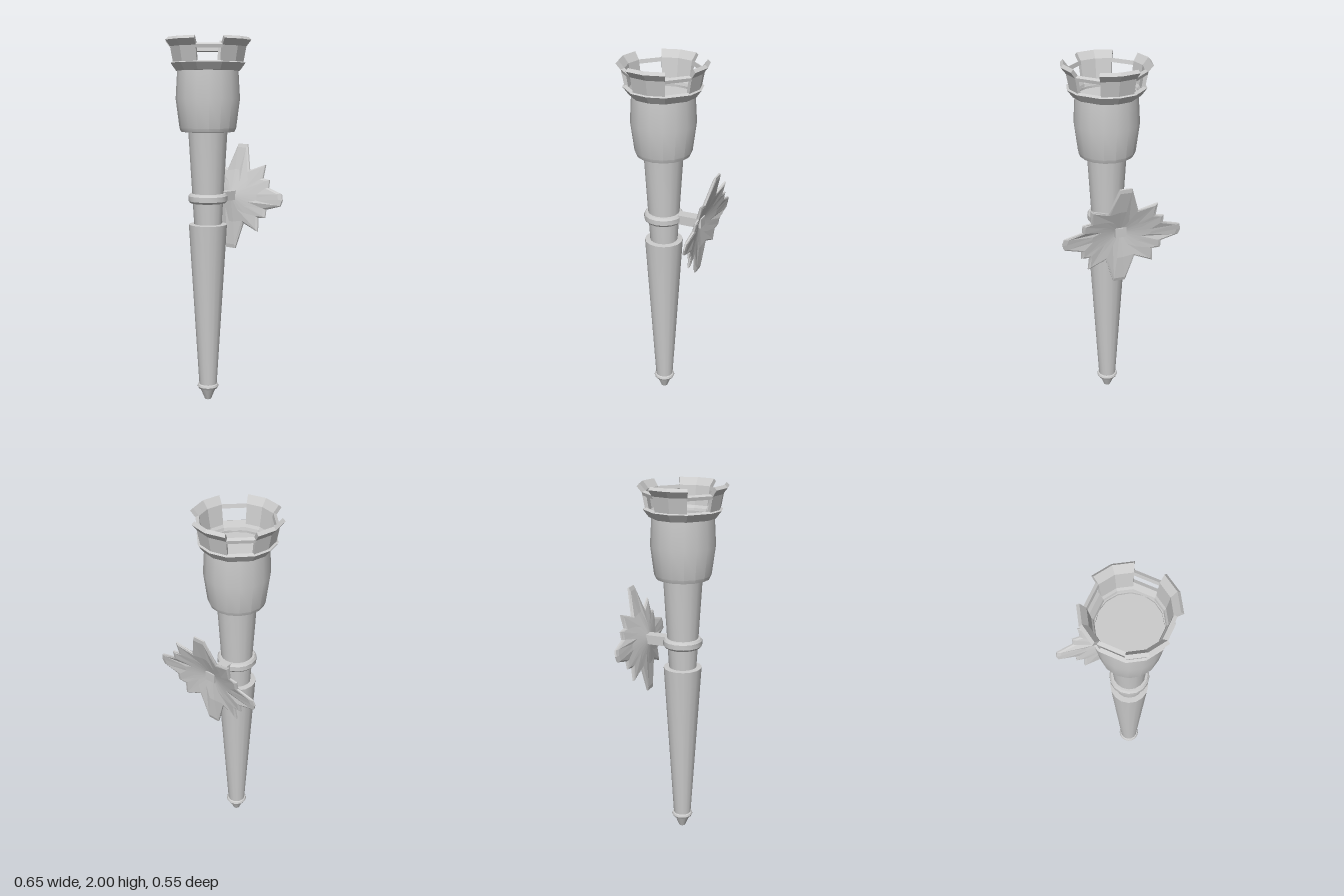
import * as THREE from 'three';
import { toCreasedNormals } from 'three/addons/utils/BufferGeometryUtils.js';

const CX = 0.005, CZ = 0.035; // torch axis
const rad = THREE.MathUtils.degToRad;
const grey = new THREE.MeshStandardMaterial({ color: 0xcccccc });
const facet = new THREE.MeshStandardMaterial({ color: 0xcccccc, flatShading: true });

function add(parent, name, geometry, material = grey) {
  const mesh = new THREE.Mesh(geometry, material);
  mesh.name = name;
  parent.add(mesh);
  return mesh;
}

function lathe(points, sides = 16) {
  const g = new THREE.LatheGeometry(points.map(p => new THREE.Vector2(...p)), sides);
  return toCreasedNormals(g, 0.45);
}

function fromTriangles(points) {
  const g = new THREE.BufferGeometry().setFromPoints(points);
  g.computeVertexNormals();
  return g;
}

// Sweeps a closed counter-clockwise [radius, y] profile through angles measured from +z
function sweep(profile, degrees, capped = true) {
  const tris = [], n = profile.length;
  const at = (deg, i) => {
    const [r, y] = profile[i % n];
    return new THREE.Vector3(r * Math.sin(rad(deg)), y, r * Math.cos(rad(deg)));
  };
  for (let k = 0; k + 1 < degrees.length; k++) {
    for (let i = 0; i < n; i++) {
      const a = at(degrees[k], i), b = at(degrees[k + 1], i);
      const c = at(degrees[k + 1], i + 1), d = at(degrees[k], i + 1);
      tris.push(a, b, c, a, c, d);
    }
  }
  if (capped) {
    const first = degrees[0], last = degrees[degrees.length - 1];
    const faces = THREE.ShapeUtils.triangulateShape(profile.map(p => new THREE.Vector2(...p)), []);
    for (const [i, j, k] of faces) {
      tris.push(at(first, i), at(first, j), at(first, k));
      tris.push(at(last, k), at(last, j), at(last, i));
    }
  }
  return fromTriangles(tris);
}

// Domed star plate: the outline is scaled inwards in layers, front then back
function starPlate() {
  const quarter = [[0.325, 0], [0.315, 0.033], [0.22, 0.06], [0.22, 0.105], [0.175, 0.11],
    [0.18, 0.187], [0.08, 0.148], [0.033, 0.297]];
  const half = [...quarter, ...quarter.slice(1).reverse().map(([x, y]) => [-x, y]), [-0.325, 0]];
  const outline = [...half, ...half.slice(1, -1).reverse().map(([x, y]) => [x, -y])];
  const layers = [[0, 0.009], [0.5, 0.009], [0.93, 0.009], [1, 0.003],
    [1, -0.006], [0.93, -0.009], [0.5, -0.009], [0, -0.009]];
  const at = (layer, i) => {
    const [s, offset] = layers[layer];
    const [x, y] = outline[i % outline.length];
    const dome = 0.05 * Math.max(0, 1 - s * Math.hypot(x, y) / 0.22);
    return new THREE.Vector3(x * s, y * s, dome + offset);
  };
  const tris = [];
  for (let l = 0; l + 1 < layers.length; l++) {
    for (let i = 0; i < outline.length; i++) {
      const a = at(l, i), b = at(l + 1, i), c = at(l + 1, i + 1), d = at(l, i + 1);
      if (layers[l + 1][0] > 0) tris.push(a, b, c);
      if (layers[l][0] > 0) tris.push(a, c, d);
    }
  }
  return fromTriangles(tris);
}

export function createModel() {
  const model = new THREE.Group();
  model.name = 'wallTorch';
  const torch = new THREE.Group();
  torch.name = 'torch';
  torch.position.set(CX, 0, CZ);
  model.add(torch);

  // Handle with pointed foot and bead
  add(torch, 'foot', lathe([[0, 0], [0.018, 0], [0.045, 0.065]]));
  add(torch, 'footBead', lathe([[0.04, 0.062], [0.054, 0.066], [0.06, 0.077], [0.056, 0.088], [0.045, 0.093]]));
  add(torch, 'lowerHandle', lathe([[0.049, 0.085], [0.105, 1.0], [0.07, 1.003]]));
  add(torch, 'upperHandle', lathe([[0.075, 0.99], [0.106, 1.51]]));
  add(torch, 'collar', lathe([[0.08, 1.117], [0.098, 1.119], [0.107, 1.13], [0.107, 1.157], [0.098, 1.169], [0.08, 1.171]]));

  // Barrel-shaped head, closed by a floor inside the crown
  add(torch, 'head', lathe([[0.09, 1.5], [0.145, 1.505], [0.153, 1.525], [0.173, 1.68],
    [0.164, 1.832], [0.158, 1.832], [0.158, 1.82], [0, 1.82]]));

  // Crown: base ring, four flared flaps and the bars between them
  const crown = new THREE.Group();
  crown.name = 'crown';
  torch.add(crown);
  const W = 26;
  const ringAngles = [];
  for (let q = 0; q < 4; q++) ringAngles.push(q * 90, q * 90 + W, q * 90 + 90 - W);
  ringAngles.push(360);
  add(crown, 'crownRing', sweep([[0.163, 1.828], [0.178, 1.828], [0.208, 1.868], [0.188, 1.876], [0.168, 1.845]],
    ringAngles, false), facet);
  const flap = sweep([[0.176, 1.86], [0.194, 1.86], [0.212, 1.952], [0.238, 1.985], [0.223, 2.0], [0.193, 1.962]], [-W, 0, W]);
  const bar = sweep([[0.19, 1.942], [0.209, 1.938], [0.213, 1.955], [0.195, 1.963]], [W - 1, 91 - W]);
  for (let q = 0; q < 4; q++) {
    add(crown, 'crownFlap', flap, facet).rotation.y = q * Math.PI / 2;
    add(crown, 'crownBar', bar, facet).rotation.y = q * Math.PI / 2;
  }

  // Wall bracket
  const arm = add(model, 'bracketArm', new THREE.BoxGeometry(0.06, 0.052, 0.155), facet);
  arm.position.set(0, 1.144, -0.115);
  const plate = add(model, 'starPlate', starPlate(), facet);
  plate.position.set(0, 1.135, -0.213);
  plate.rotation.x = -0.18;
  return model;
}
